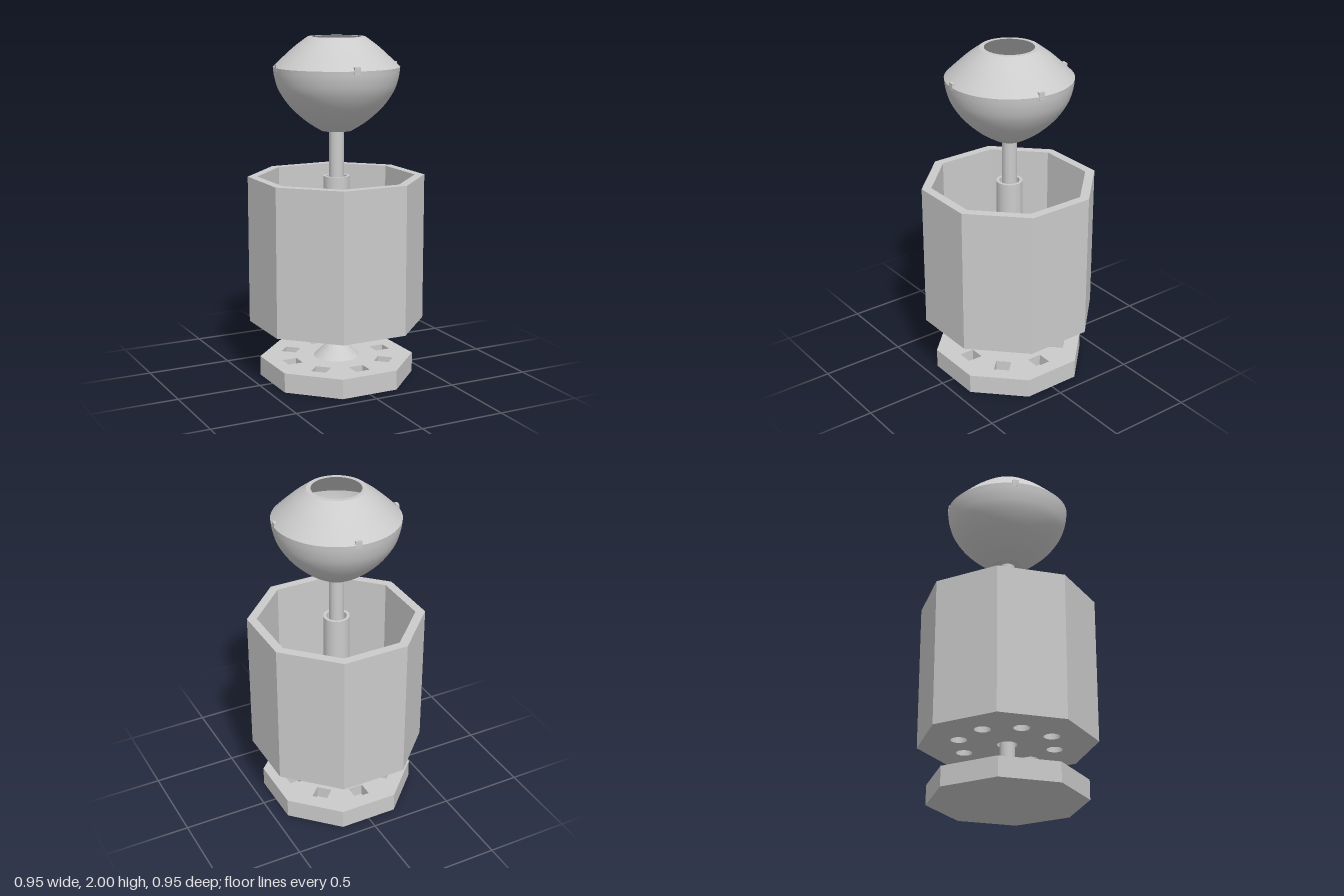
import * as THREE from 'three';
import { toCreasedNormals } from 'three/addons/utils/BufferGeometryUtils.js';

const material = new THREE.MeshStandardMaterial({ color: 0xcccccc, side: THREE.DoubleSide });

function part(name, geometry, parent) {
  const mesh = new THREE.Mesh(geometry, material);
  mesh.name = name;
  parent.add(mesh);
  return mesh;
}

// Corners of a regular octagon with flat sides facing the axes
function octagon(apothem) {
  const r = apothem / Math.cos(Math.PI / 8);
  return Array.from({ length: 8 }, (_, i) => {
    const a = Math.PI / 8 + i * Math.PI / 4;
    return new THREE.Vector2(r * Math.cos(a), r * Math.sin(a));
  });
}

function circle(radius, x = 0, y = 0) {
  return new THREE.Path().absarc(x, y, radius, 0, Math.PI * 2, true);
}

// Square hole turned to point along its radius
function squareHole(size, radius, angle) {
  const points = [[-1, -1], [-1, 1], [1, 1], [1, -1]].map(([u, v]) =>
    new THREE.Vector2(radius + u * size / 2, v * size / 2)
      .rotateAround(new THREE.Vector2(), angle));
  return new THREE.Path(points);
}

// Extrude an octagonal slab upward from y0 to y1
function slab(apothem, y0, y1, holes = []) {
  const shape = new THREE.Shape(octagon(apothem));
  shape.holes.push(...holes);
  const geometry = new THREE.ExtrudeGeometry(shape, { depth: y1 - y0, bevelEnabled: false, curveSegments: 16 });
  return geometry.rotateX(-Math.PI / 2).translate(0, y0, 0);
}

function lathe(points) {
  const profile = points.map(([x, y]) => new THREE.Vector2(x, y));
  return toCreasedNormals(new THREE.LatheGeometry(profile, 72), 0.5);
}

// Smooth run of profile points
function curve(points, n = 14) {
  return new THREE.SplineCurve(points.map(([x, y]) => new THREE.Vector2(x, y)))
    .getPoints(n).map((p) => [p.x, p.y]);
}

export function createModel() {
  const model = new THREE.Group();
  model.name = 'planterTower';
  const angles = Array.from({ length: 8 }, (_, i) => i * Math.PI / 4);

  // Base with a ring of blind square pockets
  const base = new THREE.Group();
  base.name = 'base';
  model.add(base);
  part('baseFloor', slab(0.42, 0, 0.045), base);
  part('basePocketPlate', slab(0.42, 0.045, 0.115, angles.map((a) => squareHole(0.09, 0.29, a))), base);

  // Flared foot and the post running up to the bowl
  part('post', lathe([[0, 0.1], [0.135, 0.1], [0.135, 0.115], [0.043, 0.205], [0.043, 1.497], [0, 1.497]]), base);

  // Octagonal pot: pierced floor, walls and central sleeve
  const pot = new THREE.Group();
  pot.name = 'pot';
  model.add(pot);
  const drains = angles.map((a) => circle(0.047, 0.28 * Math.cos(a), 0.28 * Math.sin(a)));
  part('potFloor', slab(0.475, 0.335, 0.39, [circle(0.058), ...drains]), pot);
  part('potWall', slab(0.475, 0.39, 1.2, [new THREE.Path(octagon(0.423).reverse())]), pot);
  part('potSleeve', lathe([[0.058, 0.36], [0.076, 0.36], [0.076, 1.2], [0.058, 1.2], [0.058, 0.36]]), pot);

  // Hollow bowl
  const bowlOuter = curve([[0.09, 1.465], [0.18, 1.523], [0.27, 1.607], [0.33, 1.695], [0.355, 1.77], [0.363, 1.83]], 20);
  const bowlInner = curve([[0.338, 1.83], [0.33, 1.77], [0.305, 1.705], [0.25, 1.627], [0.165, 1.548], [0.08, 1.495]], 20);
  part('bowl', lathe([[0, 1.465], ...bowlOuter, ...bowlInner, [0, 1.495]]), model);

  // Domed lid with a round opening
  const lidOuter = curve([[0.363, 1.83], [0.31, 1.881], [0.24, 1.944], [0.165, 2]]);
  const lidInner = curve([[0.14, 2], [0.22, 1.932], [0.285, 1.876], [0.332, 1.83]]);
  part('lid', lathe([...lidOuter, ...lidInner, [0.363, 1.83]]), model);

  // Four locking tabs around the lid's rim
  for (let i = 0; i < 4; i++) {
    const tab = part('lidTab', new THREE.BoxGeometry(0.036, 0.04, 0.018), model);
    const a = -0.145 + i * Math.PI / 2;
    tab.position.set(0.353 * Math.sin(a), 1.832, 0.353 * Math.cos(a));
    tab.rotation.y = a;
  }
  return model;
}
